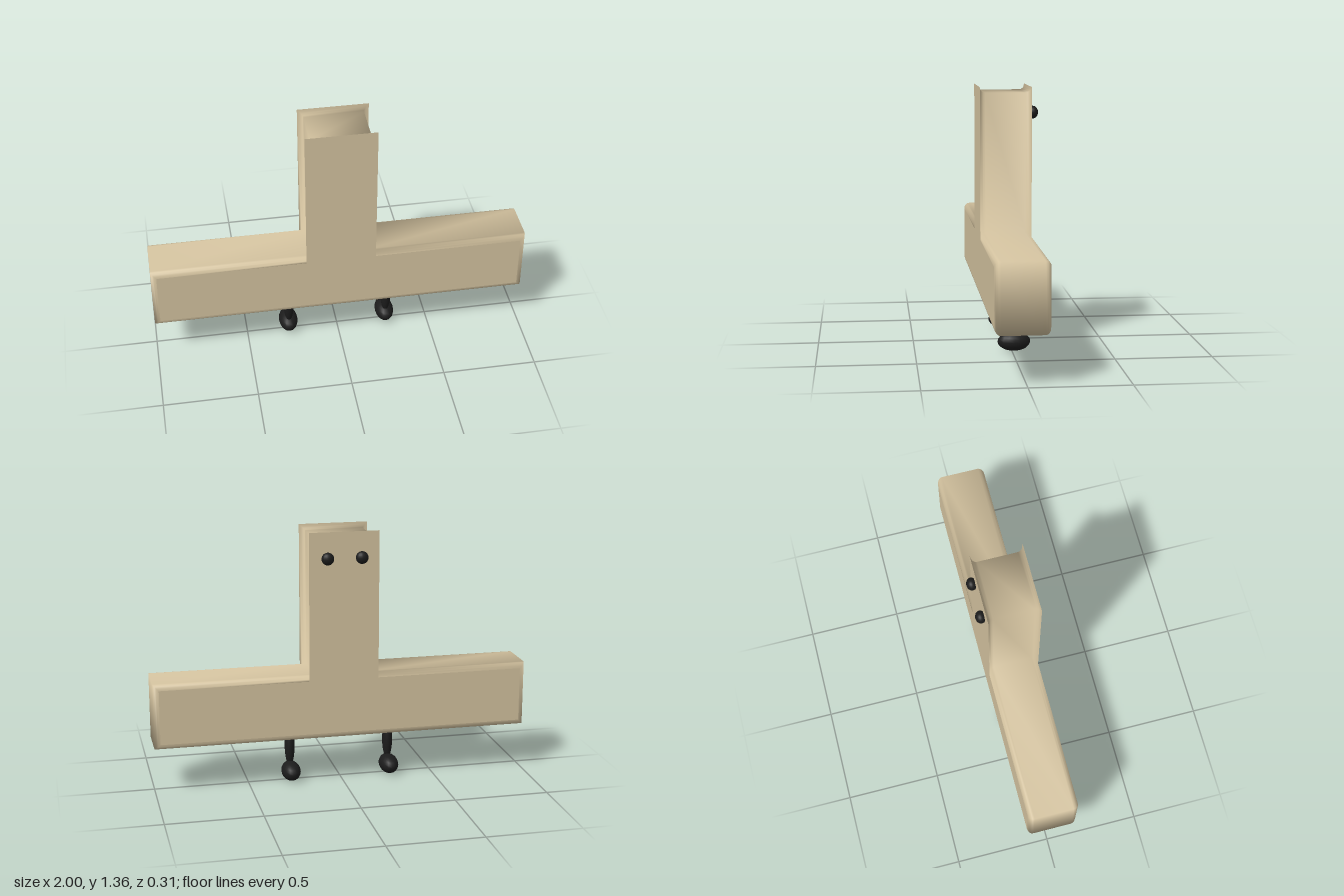
import * as THREE from 'three';

export function createModel() {
  const model = new THREE.Group();
  const tan = new THREE.MeshStandardMaterial({ color: 0xd2c19e });
  tan.name = 'tan';
  const black = new THREE.MeshStandardMaterial({ color: 0x1c1c1c });
  black.name = 'black';

  const add = (name, geometry, material, parent = model) => {
    const mesh = new THREE.Mesh(geometry, material);
    mesh.name = name;
    parent.add(mesh);
    return mesh;
  };

  // T-shaped outline, each corner with the direction its bevel moves:
  // the arms swell outward while the column sinks inward
  const half = [
    [0.97, 0.28, 1, -1], [0.97, 0.57, 1, 1],
    [0.185, 0.57, -1, 1], [0.185, 1.355, -1, -1],
  ];
  const outline = [...half, ...half.map(([x, y, dx, dy]) => [-x, y, -dx, dy]).reverse()];
  const back = -0.112, front = 0.155, bevel = 0.03, steps = 4;

  // Rings from back to front, with a rounded bevel at both ends
  const rings = [];
  for (let i = 0; i <= steps; i++) {
    const a = (i / steps) * Math.PI / 2;
    rings.push([back + bevel * (1 - Math.cos(a)), bevel * Math.sin(a)]);
  }
  for (let i = steps; i >= 0; i--) {
    const a = (i / steps) * Math.PI / 2;
    rings.push([front - bevel * (1 - Math.cos(a)), bevel * Math.sin(a)]);
  }
  const positions = [], index = [], n = outline.length;
  rings.forEach(([z, s], j) => outline.forEach(([x, y, dx, dy], i) => {
    positions.push(x + dx * s, y + dy * s, z);
    if (j === rings.length - 1) return;
    const a = j * n + i, b = j * n + (i + 1) % n;
    index.push(a, b, b + n, a, b + n, a + n);
  }));
  const sides = new THREE.BufferGeometry();
  sides.setAttribute('position', new THREE.Float32BufferAttribute(positions, 3));
  sides.setIndex(index);
  sides.computeVertexNormals();

  const body = new THREE.Group();
  body.name = 'body';
  model.add(body);
  add('bodySides', sides, tan, body);

  // Flat front and back faces
  const face = new THREE.ShapeGeometry(
    new THREE.Shape(outline.map(([x, y]) => new THREE.Vector2(x, y))));
  add('frontFace', face, tan, body).position.z = front;
  const backFace = add('backFace', face, tan, body);
  backFace.position.z = back;
  backFace.rotation.y = Math.PI;

  // Eyes, legs and feet are stretched spheres
  const ball = new THREE.SphereGeometry(1, 16, 12);
  const ellipsoid = (name, position, radii) => {
    const mesh = add(name, ball, black);
    mesh.position.set(...position);
    mesh.scale.set(...radii);
  };
  for (const [side, s] of [['left', 1], ['right', -1]]) {
    ellipsoid(side + 'Eye', [s * 0.09, 1.22, -0.128], [0.033, 0.033, 0.027]);
    ellipsoid(side + 'Leg', [s * 0.27, 0.18, 0.022], [0.027, 0.11, 0.033]);
    ellipsoid(side + 'Foot', [s * 0.27, 0.05, -0.011], [0.051, 0.05, 0.085]);
  }
  return model;
}
